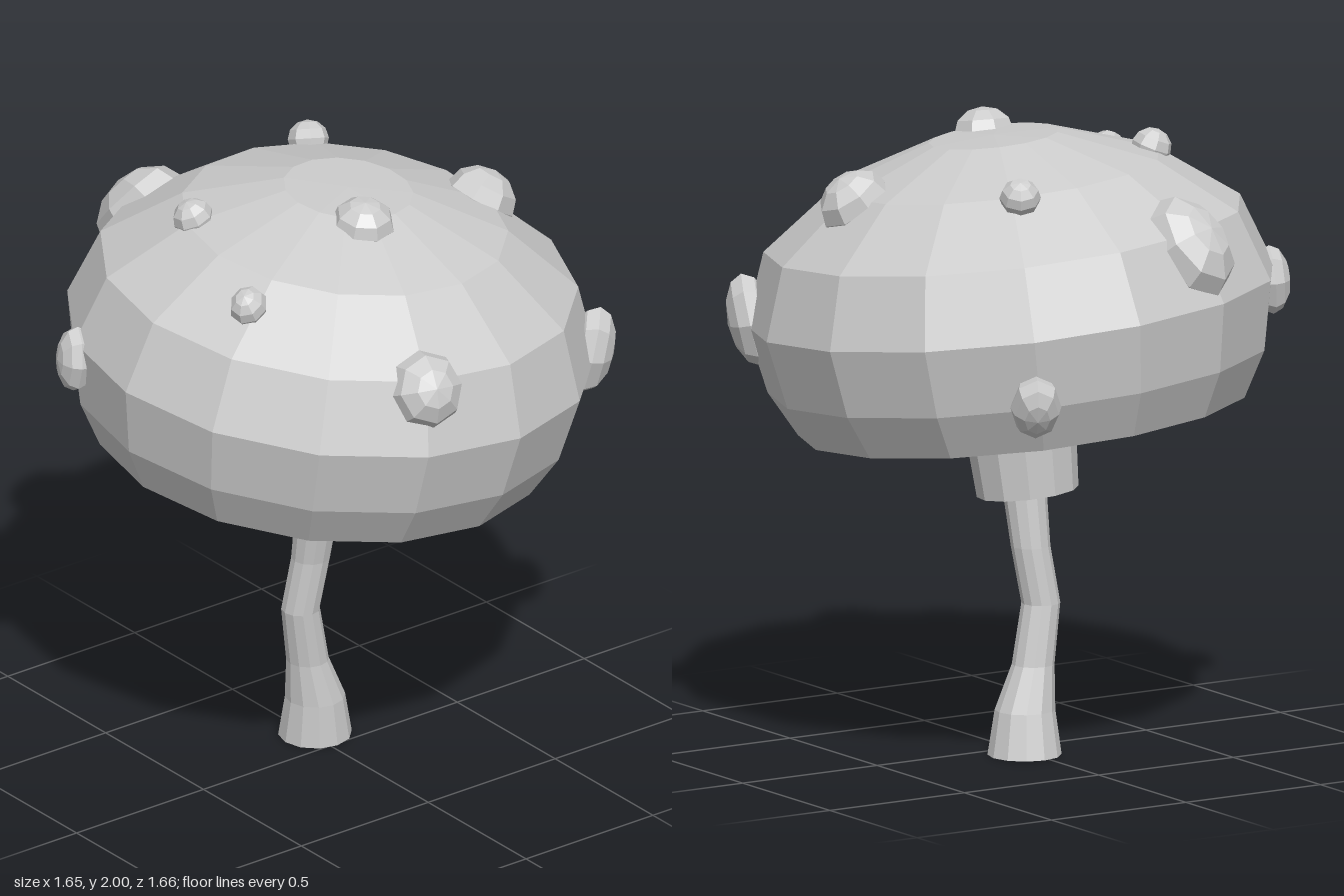
import * as THREE from 'three';

const mat = new THREE.MeshStandardMaterial({ color: 0xcccccc, flatShading: true });

function add(parent, name, geometry) {
  const mesh = new THREE.Mesh(geometry, mat);
  mesh.name = name;
  parent.add(mesh);
  return mesh;
}

// Crooked stalk: each cylinder row is moved to its own centre and radius
function stalkGeometry() {
  // [y, centre x, centre z, radius], top to bottom
  const rows = [
    [0.84, -0.03, -0.025, 0.07], [0.65, -0.035, -0.055, 0.062], [0.47, -0.06, -0.075, 0.061],
    [0.28, -0.025, -0.085, 0.067], [0.14, 0.01, -0.092, 0.095], [0, 0.02, -0.105, 0.116],
  ];
  const n = rows.length - 1;
  const geo = new THREE.CylinderGeometry(1, 1, 1, 12, n);
  const p = geo.attributes.position;
  for (let i = 0; i < p.count; i++) {
    const [y, cx, cz, r] = rows[Math.round((0.5 - p.getY(i)) * n)];
    p.setXYZ(i, cx + p.getX(i) * r, y, cz + p.getZ(i) * r);
  }
  geo.computeVertexNormals();
  return geo;
}

export function createModel() {
  const model = new THREE.Group();
  model.name = 'mushroom';
  add(model, 'stalk', stalkGeometry());

  // Cap and collar lean together
  const head = new THREE.Group();
  head.name = 'head';
  head.position.y = 1.435;
  head.rotation.set(0.078, 0, -0.078);
  model.add(head);

  // Closed profile: recessed underside, rim, dome
  const profile = [
    [0, -0.265], [0.63, -0.265], [0.71, -0.365], [0.79, -0.22], [0.835, 0],
    [0.755, 0.225], [0.515, 0.405], [0.205, 0.515], [0, 0.52],
  ].map(([r, y]) => new THREE.Vector2(r, y));
  add(head, 'cap', new THREE.LatheGeometry(profile, 15, 3.07));

  const collar = add(head, 'collar', new THREE.CylinderGeometry(0.185, 0.16, 0.365, 12));
  collar.position.set(0.01, -0.435, 0.015);

  // Spots: centre x, y, z, then half width, half height, bulge
  const spots = [
    [-0.04, 1.92, 0.22, 0.1, 0.1, 0.08],
    [0.53, 1.78, 0.08, 0.11, 0.12, 0.1],
    [-0.18, 1.58, 0.72, 0.12, 0.125, 0.1],
    [0.67, 1.36, 0.46, 0.1, 0.15, 0.075],
    [-0.41, 1.9, -0.17, 0.065, 0.065, 0.06],
    [-0.53, 1.8, 0.27, 0.06, 0.065, 0.06],
    [0.26, 1.86, -0.45, 0.065, 0.065, 0.06],
    [-0.23, 1.68, -0.66, 0.14, 0.18, 0.12],
    [-0.765, 1.46, -0.31, 0.08, 0.11, 0.06],
    [0.37, 1.25, -0.71, 0.08, 0.11, 0.075],
  ];
  const spotGeo = new THREE.SphereGeometry(1, 8, 6);
  const up = new THREE.Vector3(0, 1, 0);
  for (const [x, y, z, w, h, bulge] of spots) {
    const spot = add(model, 'spot', spotGeo);
    // Pole points out of the dome, width runs level along it
    const out = new THREE.Vector3(x / 0.69, (y - 1.435) / 0.29, z / 0.69).normalize();
    const side = new THREE.Vector3().crossVectors(up, out).normalize();
    const along = new THREE.Vector3().crossVectors(side, out);
    spot.quaternion.setFromRotationMatrix(new THREE.Matrix4().makeBasis(side, out, along));
    spot.position.set(x, y, z);
    spot.scale.set(w, bulge, h);
  }
  return model;
}
